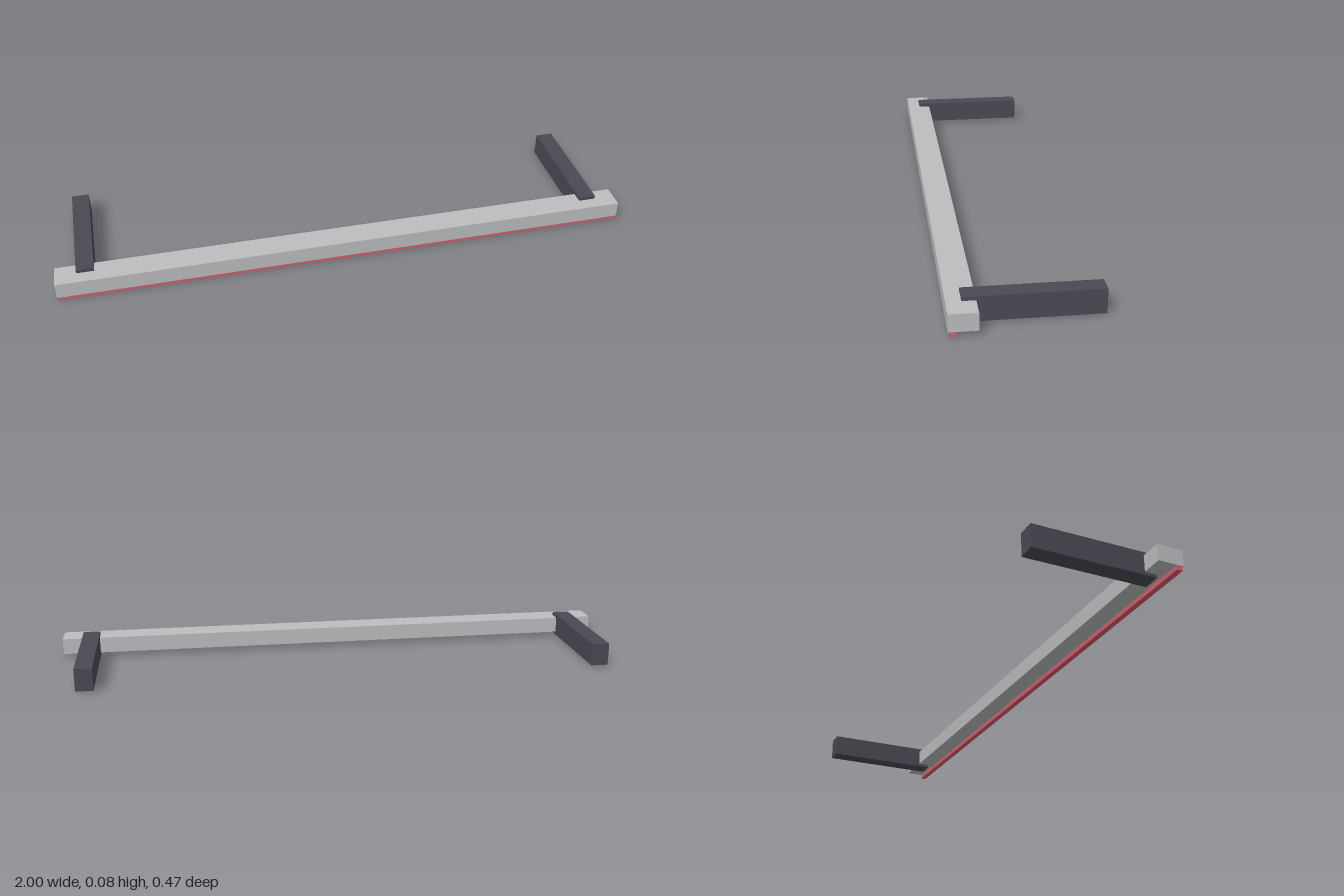
import * as THREE from 'three';

export function createModel() {
  const model = new THREE.Group();
  const mat = (name, color) => {
    const m = new THREE.MeshStandardMaterial({ color });
    m.name = name;
    return m;
  };
  const grey = mat('light grey', 0xbcbdbe);
  const dark = mat('dark slate', 0x4a4a54);
  const red = mat('soft red', 0xd0606e);

  // Box given by its lower and upper corners
  const box = (name, material, [x0, y0, z0], [x1, y1, z1]) => {
    const mesh = new THREE.Mesh(new THREE.BoxGeometry(x1 - x0, y1 - y0, z1 - z0), material);
    mesh.position.set((x0 + x1) / 2, (y0 + y1) / 2, (z0 + z1) / 2);
    mesh.name = name;
    model.add(mesh);
  };

  // Long cross beam with a thin strip along its lower front edge
  box('beam', grey, [-1, 0.016, 0.146], [1, 0.072, 0.234]);
  box('lowerStrip', red, [-1, 0, 0.209], [1, 0.016, 0.228]);

  // Arms reaching backward from near each end, wrapping the beam's rear half
  box('leftArm', dark, [0.868, 0.005, -0.232], [0.928, 0.084, 0.188]);
  box('rightArm', dark, [-0.928, 0.005, -0.232], [-0.868, 0.084, 0.188]);

  // Centre the depth exactly
  model.children.forEach((part) => { part.position.z -= 0.001; });
  return model;
}
